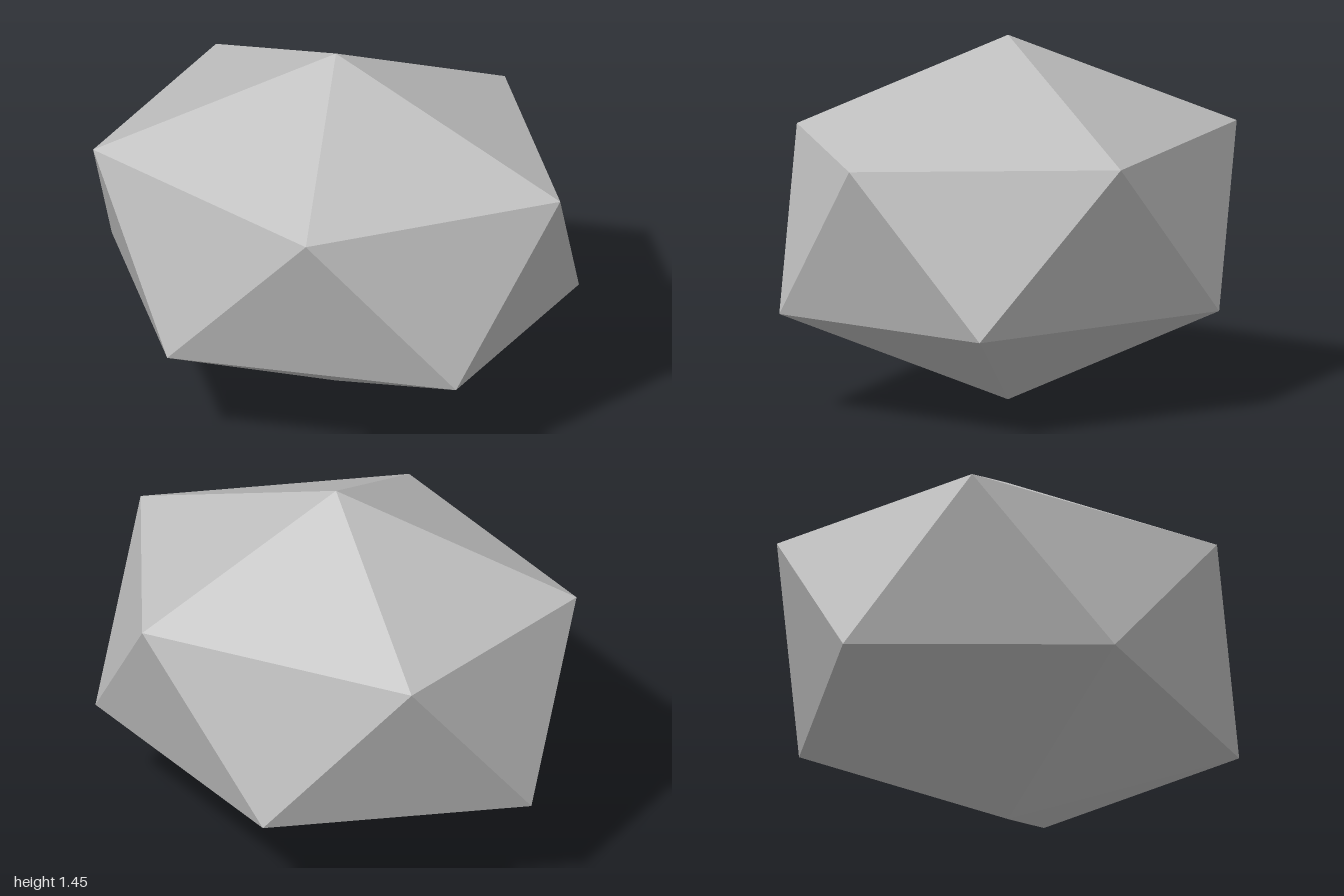
import * as THREE from 'three';

const DEPTH = 0.85; // front-to-back squash
const TOP = 1.45, UPPER = 1.05, LOWER = 0.4;

// Corner i of a five-sided ring, turned by a fraction of a step
function ringPoint(i, turn, y) {
  const a = ((i + turn) * Math.PI * 2) / 5;
  return [Math.cos(a), y, Math.sin(a) * DEPTH];
}

export function createModel() {
  const stone = new THREE.MeshStandardMaterial({ color: 0xbfbfbf, flatShading: true });
  stone.name = 'grey stone';

  const top = [0, TOP, 0];
  const base = [0, 0, 0];
  const upper = (i) => ringPoint(i, 0, UPPER);
  const lower = (i) => ringPoint(i, 0.5, LOWER);

  // Each step adds a top face, two belt faces and a bottom face
  const corners = [];
  for (let i = 0; i < 5; i++) {
    corners.push(top, upper(i + 1), upper(i));
    corners.push(lower(i), upper(i), upper(i + 1));
    corners.push(lower(i), lower(i - 1), upper(i));
    corners.push(base, lower(i - 1), lower(i));
  }

  const geometry = new THREE.BufferGeometry();
  geometry.setAttribute('position', new THREE.Float32BufferAttribute(corners.flat(), 3));
  geometry.computeVertexNormals();

  const rock = new THREE.Mesh(geometry, stone);
  rock.name = 'rock';
  const group = new THREE.Group();
  group.name = 'facetedRock';
  group.add(rock);
  return group;
}
